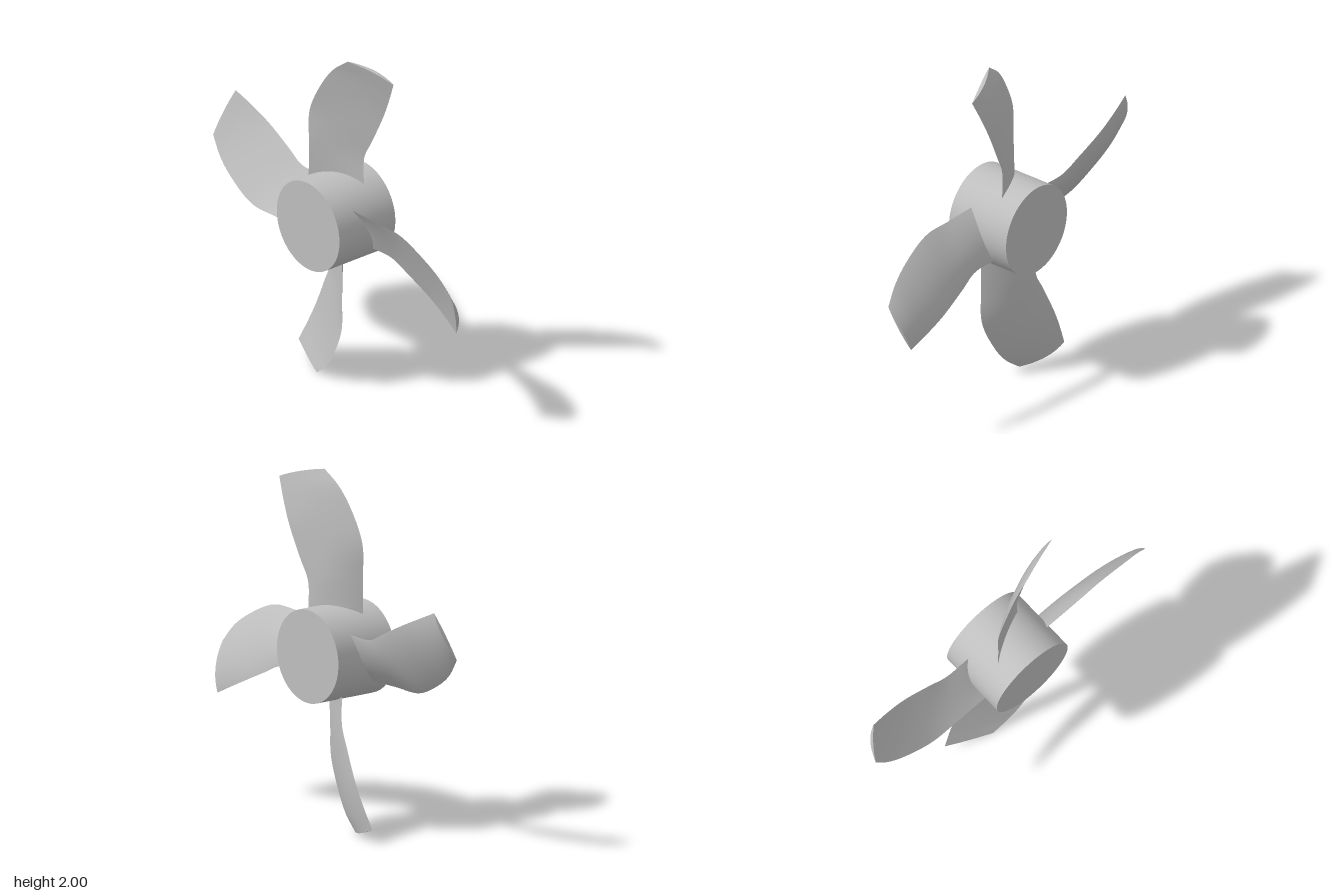
import * as THREE from 'three';
import { ParametricGeometry } from 'three/addons/geometries/ParametricGeometry.js';

const CENTER_Y = 1;
const HUB_RADIUS = 0.263;

// Blade outlines from root to tip: x along the axle, y outward, z sideways
const curve = (pts) => new THREE.CatmullRomCurve3(pts.map((p) => new THREE.Vector3(...p)), false, 'centripetal');
const leadingEdge = curve([
  [-0.08, 0.2, -0.14], [-0.08, 0.42, -0.138], [-0.078, 0.62, -0.135],
  [-0.063, 0.81, -0.05], [-0.047, 0.92, 0.03], [-0.03, 1.0, 0.13],
]);
const trailingEdge = curve([
  [0.075, 0.2, 0.145], [0.076, 0.38, 0.145], [0.086, 0.5, 0.2],
  [0.095, 0.68, 0.285], [0.086, 0.81, 0.345], [0.07, 0.925, 0.398],
]);

// Point at span u and chord v; the section bends round the axle and bulges toward +x
function bladePoint(u, v, bulge, target) {
  const a = leadingEdge.getPoint(u);
  const b = trailingEdge.getPoint(u);
  const radius = THREE.MathUtils.lerp(Math.hypot(a.y, a.z), Math.hypot(b.y, b.z), v);
  const angle = THREE.MathUtils.lerp(Math.atan2(a.z, a.y), Math.atan2(b.z, b.y), v);
  const x = THREE.MathUtils.lerp(a.x, b.x, v) + bulge * 4 * v * (1 - v);
  target.set(x, radius * Math.cos(angle), radius * Math.sin(angle));
}

const frontBulge = (u) => 0.036 - 0.01 * u * u;
const backBulge = (u) => 0.01 - 0.008 * u;

export function createModel() {
  const model = new THREE.Group();
  model.name = 'propeller';
  const metal = new THREE.MeshStandardMaterial({ color: 0xbfbfbf });
  metal.name = 'grey metal';

  const add = (parent, name, geometry) => {
    const mesh = new THREE.Mesh(geometry, metal);
    mesh.name = name;
    parent.add(mesh);
    return mesh;
  };

  // Hub: a plain drum lying along x
  const hub = add(model, 'hub', new THREE.CylinderGeometry(HUB_RADIUS, HUB_RADIUS, 0.405, 64));
  hub.rotation.z = Math.PI / 2;
  hub.position.set(-0.0025, CENTER_Y, 0);

  // Blade skins and the thin lens that closes the tip
  const convexSkin = new ParametricGeometry((u, v, p) => bladePoint(u, v, frontBulge(u), p), 32, 16);
  const concaveSkin = new ParametricGeometry((v, u, p) => bladePoint(u, v, backBulge(u), p), 16, 32);
  const tipCap = new ParametricGeometry(
    (v, w, p) => bladePoint(1, v, THREE.MathUtils.lerp(backBulge(1), frontBulge(1), w), p), 16, 1);

  // Four blades around the hub
  for (let i = 0; i < 4; i++) {
    const blade = new THREE.Group();
    blade.name = `blade${i + 1}`;
    add(blade, 'convexFace', convexSkin);
    add(blade, 'concaveFace', concaveSkin);
    add(blade, 'bladeTip', tipCap);
    blade.position.y = CENTER_Y;
    blade.rotation.x = (i * Math.PI) / 2;
    model.add(blade);
  }
  return model;
}
